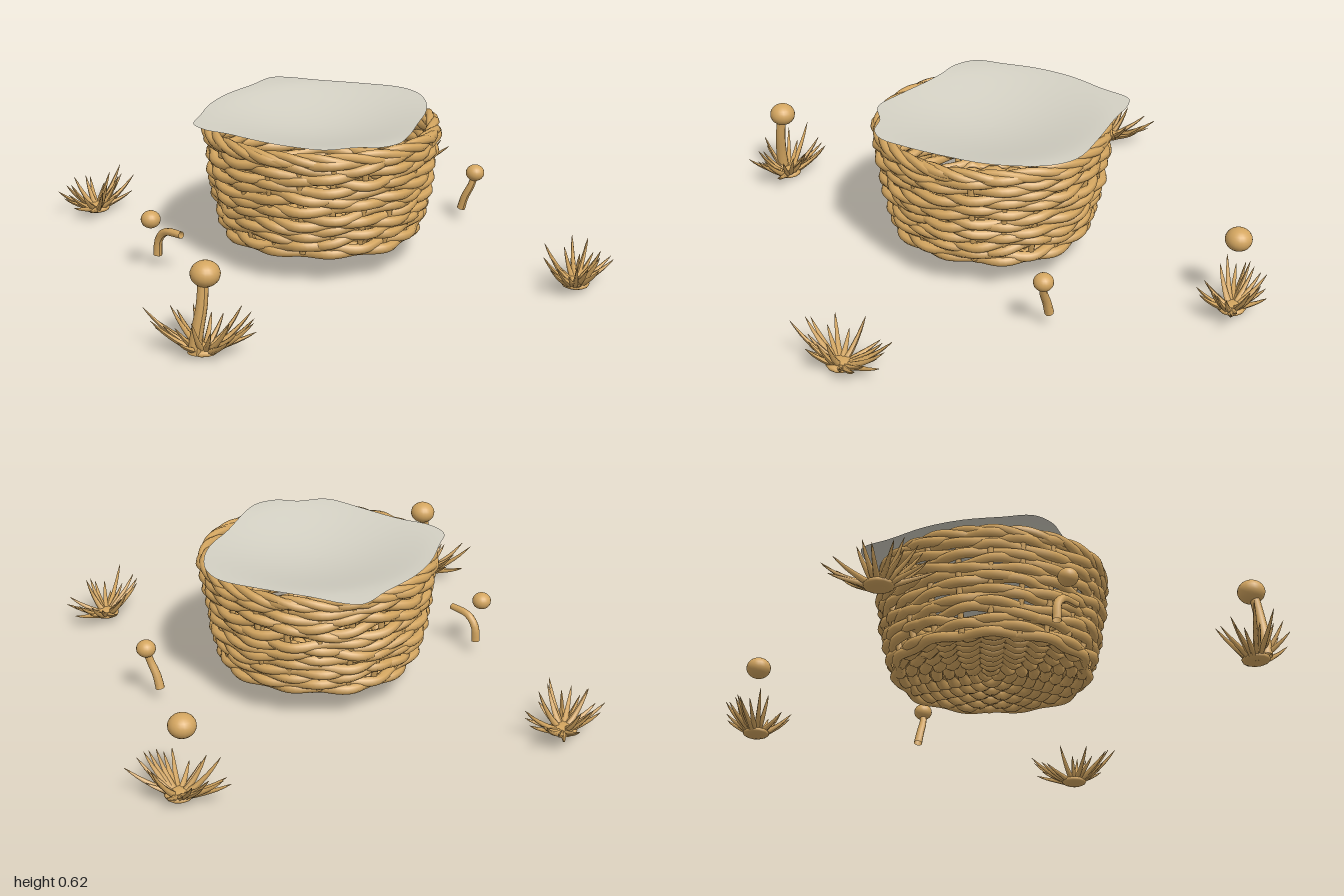
import * as THREE from 'three';
import { mergeGeometries } from 'three/addons/utils/BufferGeometryUtils.js';

const straw = new THREE.MeshStandardMaterial({ color: 0xd4a660 });
straw.name = 'straw';
straw.side = THREE.DoubleSide;
const linen = new THREE.MeshStandardMaterial({ color: 0xd3d0c3 });
linen.name = 'linen';
linen.side = THREE.DoubleSide;

let seed = 11;
const rand = (a = 0, b = 1) => {
  seed = (seed * 16807) % 2147483647;
  return a + (b - a) * (seed / 2147483647);
};
const V = (x, y, z) => new THREE.Vector3(x, y, z);

function add(parent, name, geometry, material = straw) {
  const mesh = new THREE.Mesh(geometry, material);
  mesh.name = name;
  parent.add(mesh);
  return mesh;
}

// Tube whose thickness follows a rule along its length
function taperedTube(points, radius, rule, segs = 8, sides = 6) {
  const curve = new THREE.CatmullRomCurve3(points);
  const g = new THREE.TubeGeometry(curve, segs, radius, sides);
  const p = g.attributes.position;
  const v = V(0, 0, 0);
  for (let i = 0; i <= segs; i++) {
    const c = curve.getPointAt(i / segs);
    for (let j = 0; j <= sides; j++) {
      const k = i * (sides + 1) + j;
      v.fromBufferAttribute(p, k).sub(c).multiplyScalar(rule(i / segs)).add(c);
      p.setXYZ(k, v.x, v.y, v.z);
    }
  }
  g.computeVertexNormals();
  return g;
}

// Closed strand: the rule gives radius and height for each angle
function strand(rule, thickness, segs = 150) {
  const points = [];
  for (let i = 0; i < 72; i++) {
    const a = (i / 72) * Math.PI * 2;
    const [r, y] = rule(a);
    points.push(V(Math.cos(a) * r, y, Math.sin(a) * r));
  }
  return new THREE.TubeGeometry(new THREE.CatmullRomCurve3(points, true), segs, thickness, 7, true);
}

// Centre-line radius of the wall at height y
const wallRadius = (y) => 0.405 + 0.085 * Math.pow(Math.max(0, (y - 0.12) / 0.47), 0.62);

function buildBasket() {
  const basket = new THREE.Group();
  basket.name = 'basket';

  // Woven side rows, weaving in and out and drifting up and down
  const rows = [];
  const count = 15;
  for (let i = 0; i < count; i++) {
    const y0 = 0.14 + (i / (count - 1)) * 0.42;
    const p1 = rand(0, 6.28), p2 = rand(0, 6.28), f = 3 + Math.floor(rand(0, 4));
    const edge = i === 0 ? 0.2 : 1;
    // Small slits between two low rows
    const slit = i === 1 ? -0.012 : i === 2 ? 0.014 : 0;
    rows.push(strand((a) => [
      wallRadius(y0) + 0.013 * Math.sin(11 * a + i * Math.PI + 0.5 * Math.sin(p1)) + 0.006 * Math.sin(f * a + p2),
      y0 + edge * (0.010 * Math.sin(f * a + p1) + 0.007 * Math.sin(7 * a + p2)) + slit * Math.pow(Math.cos(2 * a), 6),
    ], 0.0225));
  }
  add(basket, 'wovenWall', mergeGeometries(rows));

  // Rim of three twisted strands
  const rim = [];
  for (let i = 0; i < 3; i++) {
    const ph = (i * Math.PI * 2) / 3;
    rim.push(strand((a) => [
      0.484 + 0.014 * Math.cos(8 * a + ph),
      0.568 + 0.015 * Math.sin(8 * a + ph),
    ], 0.019));
  }
  add(basket, 'rim', mergeGeometries(rim));

  // Upright stakes inside the weave
  const stakes = [];
  for (let i = 0; i < 22; i++) {
    const a = ((i + 0.5) / 22) * Math.PI * 2;
    const points = [0.14, 0.25, 0.4, 0.57].map((y) => {
      const r = wallRadius(y);
      return V(Math.cos(a) * r, y, Math.sin(a) * r);
    });
    stakes.push(taperedTube(points, 0.014, () => 1));
  }
  add(basket, 'stakes', mergeGeometries(stakes));

  // Knobbly woven base
  const base = [];
  for (let i = 0; i < 8; i++) {
    const r0 = 0.035 + i * 0.051;
    const waves = 3 + i * 3;
    base.push(strand((a) => [
      r0 + 0.005 * Math.sin(4 * a + i),
      0.147 + 0.012 * Math.sin(waves * a + i * 2),
    ], 0.026, 110));
  }
  add(basket, 'wovenBase', mergeGeometries(base));
  add(basket, 'baseDisc', new THREE.CylinderGeometry(0.4, 0.4, 0.012, 40)).position.y = 0.148;
  return basket;
}

// Square cloth laid over the opening, sagging in the middle
function buildCloth() {
  const outline = [
    [0, -0.61], [0.07, -0.585], [0.18, -0.49], [0.35, -0.36], [0.49, -0.23], [0.52, -0.12], [0.5, 0],
    [0.44, 0.13], [0.33, 0.27], [0.21, 0.43], [0.13, 0.505], [0.04, 0.52], [-0.05, 0.48], [-0.18, 0.465],
    [-0.29, 0.35], [-0.45, 0.13], [-0.53, 0.04], [-0.555, -0.06], [-0.49, -0.17], [-0.4, -0.31],
    [-0.28, -0.43], [-0.12, -0.53],
  ].map(([x, z]) => V(x, 0, z));
  const curve = new THREE.CatmullRomCurve3(outline, true);
  const rings = 14, n = 88, pos = [], idx = [];
  for (let i = 0; i <= rings; i++) {
    const t = i / rings;
    for (let j = 0; j < n; j++) {
      const p = curve.getPoint(j / n);
      const x = p.x * t, z = p.z * t;
      const d = Math.min(1, Math.hypot(x, z) / 0.5);
      pos.push(x, 0.621 - 0.07 * Math.pow(1 - d * d, 1.5), z);
      if (i < rings) {
        const a = i * n + j, b = i * n + ((j + 1) % n);
        idx.push(a, b + n, a + n);
        if (i > 0) idx.push(a, b, b + n);
      }
    }
  }
  // Turn the faces upward
  for (let k = 0; k < idx.length; k += 3) {
    const [a, b, c] = [idx[k], idx[k + 1], idx[k + 2]].map((q) => V(pos[q * 3], 0, pos[q * 3 + 2]));
    if (b.sub(a).cross(c.sub(a)).y < 0) [idx[k + 1], idx[k + 2]] = [idx[k + 2], idx[k + 1]];
  }
  const g = new THREE.BufferGeometry();
  g.setAttribute('position', new THREE.Float32BufferAttribute(pos, 3));
  g.setIndex(idx);
  g.computeVertexNormals();
  return g;
}

// Grass tuft, wider across than towards the basket
function buildTuft(cx, cz) {
  const tuft = new THREE.Group();
  tuft.name = 'grassTuft';
  tuft.position.set(cx, 0, cz);
  const out = V(cx, 0, cz).normalize();
  const side = V(-out.z, 0, out.x);
  const blades = [];
  const n = 22;
  for (let i = 0; i < n; i++) {
    const a = ((i + rand(-0.3, 0.3)) / n) * Math.PI * 2;
    const reach = rand(0.15, 0.245), h = rand(0.07, 0.185);
    const dir = side.clone().multiplyScalar(Math.cos(a)).addScaledVector(out, 0.62 * Math.sin(a));
    const at = (k, y) => dir.clone().multiplyScalar(k * reach).setY(y);
    blades.push(taperedTube([at(0.1, 0.014), at(0.42, 0.02 + h * 0.2), at(0.75, 0.01 + h * 0.6), at(1, h)],
      0.015, (t) => 0.05 + 0.95 * Math.pow(1 - t, 0.65), 7, 5));
  }
  add(tuft, 'blades', mergeGeometries(blades));
  const crown = add(tuft, 'crown', new THREE.SphereGeometry(0.05, 12, 8));
  crown.scale.set(1.2, 0.4, 1.2);
  crown.position.y = 0.02;
  return tuft;
}

function ball(parent, name, x, y, z, r, squash = 1) {
  const m = add(parent, name, new THREE.SphereGeometry(r, 20, 14));
  m.position.set(x, y, z);
  m.scale.y = squash;
}

export function createModel() {
  const model = new THREE.Group();
  model.name = 'basketWithPlants';
  model.add(buildBasket());
  add(model, 'cloth', buildCloth(), linen);

  for (const [x, z] of [[-0.81, -0.81], [0.81, -0.81], [-0.81, 0.81], [0.81, 0.81]]) model.add(buildTuft(x, z));

  // Tall button flowers at two corners
  ball(model, 'flowerHead', -0.8, 0.332, 0.82, 0.058, 0.87);
  ball(model, 'flowerHead', 0.79, 0.332, -0.825, 0.056, 0.87);
  add(model, 'flowerStem', taperedTube([V(-0.855, 0.02, 0.83), V(-0.84, 0.12, 0.835), V(-0.822, 0.21, 0.835),
    V(-0.81, 0.31, 0.825)], 0.024, (t) => 1.1 - 0.25 * t, 12, 10));

  // Small button flowers at the sides
  ball(model, 'smallFlowerHead', 0.77, 0.24, -0.015, 0.042, 0.9);
  ball(model, 'smallFlowerHead', -0.77, 0.24, -0.015, 0.042, 0.9);
  const right = [V(0.77, 0.23, -0.015), V(0.755, 0.18, -0.02), V(0.735, 0.12, -0.04), V(0.725, 0.06, -0.055)];
  const left = [V(-0.735, 0.06, -0.05), V(-0.73, 0.13, -0.045), V(-0.71, 0.175, -0.01), V(-0.665, 0.185, 0.075)];
  add(model, 'smallFlowerStem', taperedTube(right, 0.018, (t) => 0.85 + 0.25 * t, 10, 8));
  add(model, 'smallFlowerStem', taperedTube(left, 0.018, (t) => 1.1 - 0.25 * t, 10, 8));
  return model;
}
